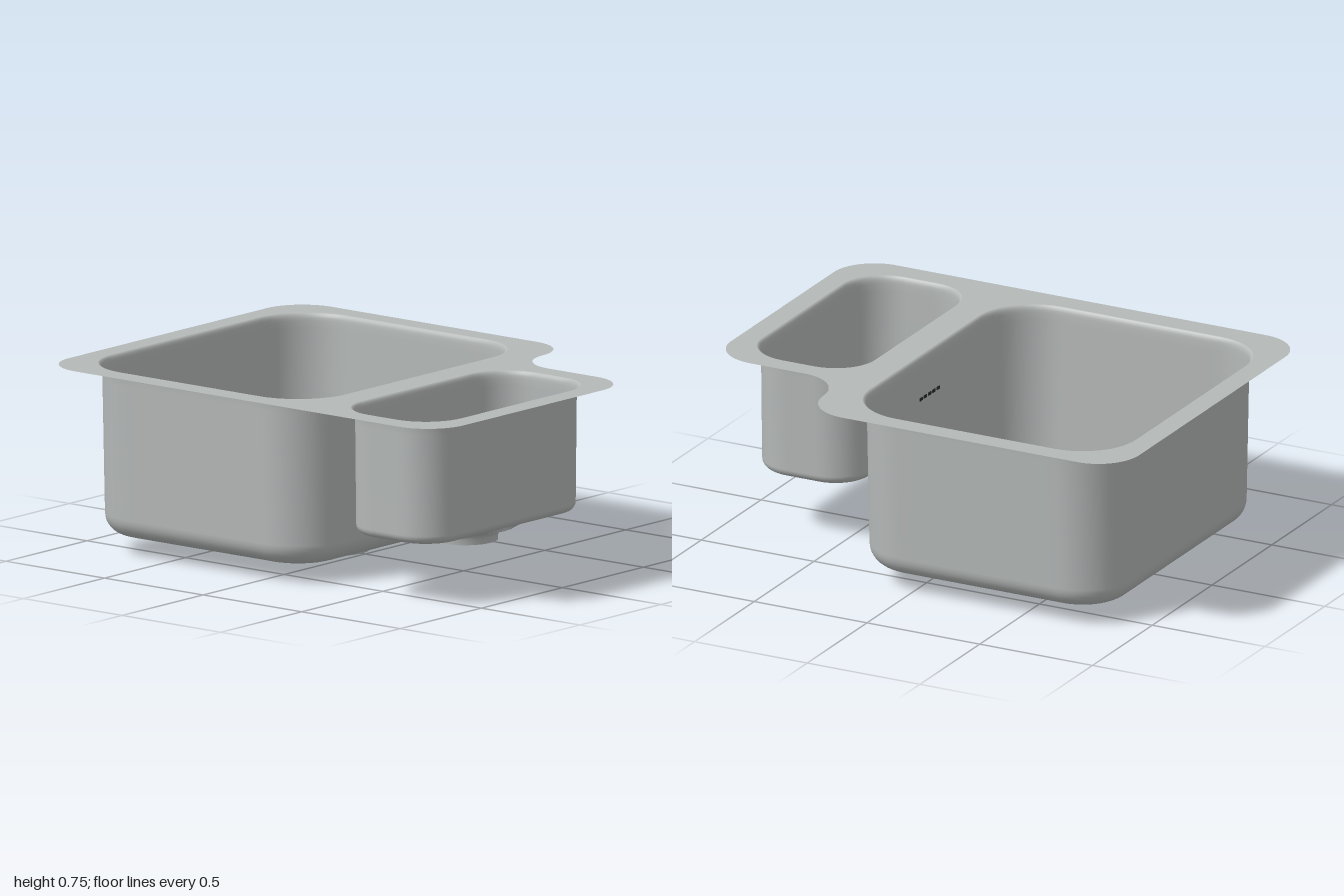
import * as THREE from 'three';

const RIM_Y = 0.75;
const BOWLS = [
  { name: 'mainBowl', x: -0.32, z: -0.005, w: 0.592, d: 0.697, r: 0.24, floor: 0.07, fillet: 0.085, taper: 0.026,
    drain: { x: -0.145, z: 0, y: 0, edge: 0.052 } },
  { name: 'smallBowl', x: 0.655, z: 0.175, w: 0.253, d: 0.517, r: 0.18, floor: 0.25, fillet: 0.035, taper: 0.02,
    drain: { x: 0.655, z: 0.18, y: 0.18, edge: 0.236 } },
];

// Rounded rectangle as a loop of [x, z], shrunk evenly by inset
function roundedLoop(b, inset, cornerSteps = 10, sideSteps = 14) {
  const w = b.w - inset, d = b.d - inset, r = Math.max(b.r - inset, 0.03);
  const signs = [[1, 1], [-1, 1], [-1, -1], [1, -1]];
  const corner = (k, t) => {
    const a = (k + t) * Math.PI / 2, [sx, sz] = signs[k % 4];
    return [b.x + sx * (w - r) + r * Math.cos(a), b.z + sz * (d - r) + r * Math.sin(a)];
  };
  const pts = [];
  for (let k = 0; k < 4; k++) {
    for (let i = 0; i <= cornerSteps; i++) pts.push(corner(k, i / cornerSteps));
    const p = corner(k, 1), q = corner(k + 1, 0);
    for (let i = 1; i < sideSteps; i++) {
      const t = i / sideSteps;
      pts.push([p[0] + (q[0] - p[0]) * t, p[1] + (q[1] - p[1]) * t]);
    }
  }
  return pts;
}

// Skin a list of { pts, y } loops with smooth normals
function loft(rings) {
  const n = rings[0].pts.length, pos = [], index = [];
  for (const { pts, y } of rings) for (const [x, z] of pts) pos.push(x, y, z);
  for (let j = 0; j < rings.length - 1; j++) {
    for (let i = 0; i < n; i++) {
      const a = j * n + i, b = j * n + (i + 1) % n;
      index.push(a, b, a + n, b, b + n, a + n);
    }
  }
  const g = new THREE.BufferGeometry();
  g.setAttribute('position', new THREE.Float32BufferAttribute(pos, 3));
  g.setIndex(index);
  g.computeVertexNormals();
  return g;
}

function bowlGeometry(b) {
  const rings = [];
  const add = (inset, y) => rings.push({ pts: roundedLoop(b, inset), y });
  // Rolled lip, then the slightly tapered wall
  for (let i = 0; i <= 4; i++) {
    const a = i / 4 * Math.PI / 2;
    add(0.014 * Math.sin(a), RIM_Y - 0.03 * (1 - Math.cos(a)));
  }
  add(0.016, RIM_Y - 0.06);
  // Rounded edge between wall and floor
  for (let i = 0; i <= 8; i++) {
    const a = i / 8 * Math.PI / 2;
    add(b.taper + b.fillet * (1 - Math.cos(a)), b.floor + b.fillet * (1 - Math.sin(a)));
  }
  // Floor falling to the circular drain recess
  const edge = rings[rings.length - 1].pts, { drain } = b;
  const circle = R => edge.map(([x, z]) => {
    const a = Math.atan2(z - drain.z, x - drain.x);
    return [drain.x + R * Math.cos(a), drain.z + R * Math.sin(a)];
  });
  const inner = circle(0.2);
  for (const t of [0.06, 0.5, 0.95, 1]) {
    rings.push({
      pts: edge.map((p, i) => [p[0] + (inner[i][0] - p[0]) * t, p[1] + (inner[i][1] - p[1]) * t]),
      y: b.floor + (drain.edge - b.floor) * t,
    });
  }
  return loft(rings);
}

// Flared neck turned around the drain axis
function drainNeck(b) {
  const h = b.drain.edge - b.drain.y;
  const profile = [[0.2, h], [0.175, h - 0.003], [0.155, h - 0.008], [0.142, h - 0.015],
    [0.134, h - 0.024], [0.13, h - 0.034], [0.129, 0]];
  return new THREE.LatheGeometry(profile.map(p => new THREE.Vector2(...p)), 48);
}

// Perforated disc with two rings of holes
function strainerGeometry() {
  const s = new THREE.Shape().absarc(0, 0, 0.129, 0, Math.PI * 2);
  for (const [count, R] of [[12, 0.06], [20, 0.096]]) {
    for (let i = 0; i < count; i++) {
      const a = i / count * Math.PI * 2;
      s.holes.push(new THREE.Path().absarc(R * Math.cos(a), R * Math.sin(a), 0.0085, 0, Math.PI * 2, true));
    }
  }
  return new THREE.ShapeGeometry(s, 10).rotateX(-Math.PI / 2);
}

// Rim sheet with a stepped back corner and both bowl openings
function rimGeometry() {
  const r = 0.18, X = 1, Z = 0.79, h = Math.PI / 2;
  const s = new THREE.Shape();
  s.moveTo(-X + r, -Z);
  s.lineTo(X - r, -Z);
  s.absarc(X - r, -Z + r, r, -h, 0);
  s.absarc(X - r, 0.43 - r, r, 0, h);
  s.absarc(0.4 + r, 0.43 + r, r, -h, -2 * h, true);
  s.absarc(0.4 - r, Z - r, r, 0, h);
  s.absarc(-X + r, Z - r, r, h, 2 * h);
  s.absarc(-X + r, -Z + r, r, 2 * h, 3 * h);
  for (const b of BOWLS) {
    s.holes.push(new THREE.Path(roundedLoop(b, 0).map(([x, z]) => new THREE.Vector2(x, -z))));
  }
  return new THREE.ShapeGeometry(s, 16).rotateX(-h);
}

export function createModel() {
  const steel = new THREE.MeshStandardMaterial({ color: 0xb4b8b7, side: THREE.DoubleSide });
  steel.name = 'brushed steel';
  const dark = new THREE.MeshStandardMaterial({ color: 0x22292a, side: THREE.DoubleSide });
  dark.name = 'dark drain';

  const model = new THREE.Group();
  model.name = 'doubleBowlSink';
  const add = (parent, name, geo, mat, x = 0, y = 0, z = 0) => {
    const m = new THREE.Mesh(geo, mat);
    m.name = name;
    m.position.set(x, y, z);
    parent.add(m);
    return m;
  };

  add(model, 'rim', rimGeometry(), steel, 0, RIM_Y, 0);

  for (const b of BOWLS) {
    const g = new THREE.Group();
    g.name = b.name;
    model.add(g);
    const { x, y, z } = b.drain;
    add(g, 'bowl', bowlGeometry(b), steel);
    add(g, 'drainNeck', drainNeck(b), steel, x, y, z);
    add(g, 'drainBase', new THREE.CircleGeometry(0.129, 48).rotateX(Math.PI / 2), dark, x, y, z);
    add(g, 'strainer', strainerGeometry(), steel, x, y + 0.012, z);
    add(g, 'strainerKnob', new THREE.CylinderGeometry(0.022, 0.025, 0.008, 24), steel, x, y + 0.016, z);
  }

  // Overflow slots on the inner wall of the main bowl
  for (let i = -2; i <= 2; i++) {
    add(model, 'overflowSlot', new THREE.BoxGeometry(0.006, 0.012, 0.022), dark, 0.253, 0.58, i * 0.036);
  }
  return model;
}
